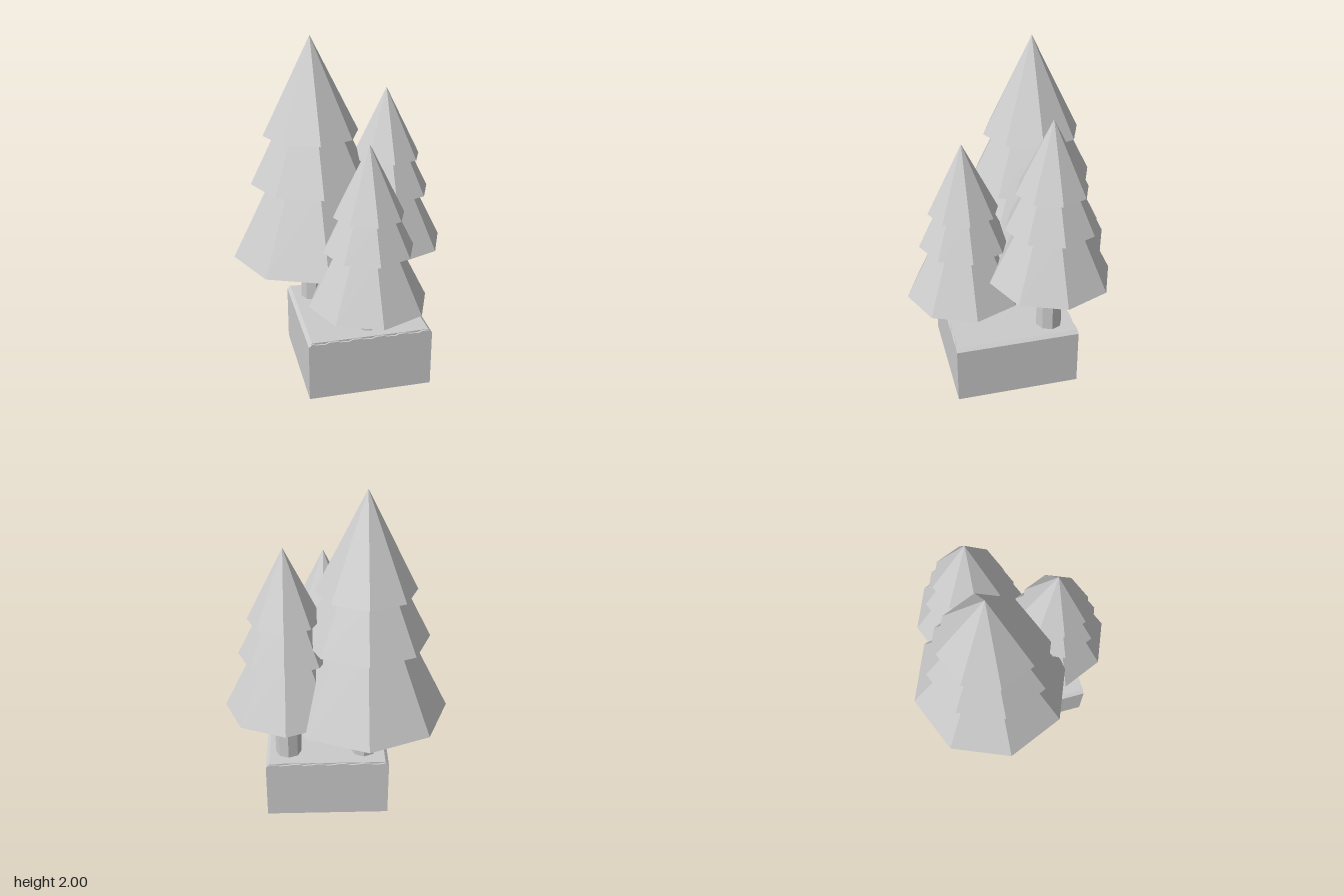
import * as THREE from 'three';

const material = new THREE.MeshStandardMaterial({ color: 0xcccccc, flatShading: true });

function part(name, geometry, x = 0, y = 0, z = 0) {
  const mesh = new THREE.Mesh(geometry, material);
  mesh.name = name;
  mesh.position.set(x, y, z);
  return mesh;
}

// Three stacked eight-sided skirts on a trunk; tiers are [base height, base radius]
function makeTree({ name, x, z, apex, trunk, tiers }) {
  const tree = new THREE.Group();
  tree.name = name;
  tree.position.set(x, 0, z);
  const bottom = 0.36, trunkHeight = tiers[0][0] - bottom + 0.02;
  tree.add(part('trunk', new THREE.CylinderGeometry(trunk, trunk, trunkHeight, 8), 0, bottom + trunkHeight / 2));
  tiers.forEach(([y, radius], i) => {
    const last = i === tiers.length - 1;
    const height = (last ? apex : tiers[i + 1][0]) - y;
    const geometry = last
      ? new THREE.ConeGeometry(radius, height, 8)
      : new THREE.CylinderGeometry(radius - 0.5 * height, radius, height, 8);
    tree.add(part('foliageTier' + (i + 1), geometry, 0, y + height / 2));
  });
  return tree;
}

// Front outline of the ground block, pushed along z
function slab(points, depth) {
  const shape = new THREE.Shape(points.map(([x, y]) => new THREE.Vector2(x, y)));
  return new THREE.ExtrudeGeometry(shape, { depth, bevelEnabled: false });
}

function makeGround() {
  const ground = new THREE.Group();
  ground.name = 'ground';
  const left = -0.31, right = 0.425, top = 0.367, lip = 0.02, edge = 0.01;

  // Main block with chamfered side edges
  const outline = [[left, 0], [right, 0], [right, top - lip], [right - lip, top], [left + lip, top], [left, top - lip]];
  ground.add(part('block', slab(outline, right - left - 2 * edge), 0, 0, left + edge));

  // Ragged turf edge along the front and back
  const ragged = [[left, 0], [right, 0], [right, top - lip], [right - lip, top - 0.003]];
  const notches = 5, step = (right - left - 2 * lip) / notches;
  for (let i = 0; i < notches; i++) {
    const x = right - lip - i * step;
    ragged.push([x - step * 0.3, 0.364], [x - step * 0.45, 0.355], [x - step * 0.8, 0.358], [x - step, 0.364]);
  }
  ragged.push([left, top - lip]);
  ground.add(part('frontEdge', slab(ragged, edge), 0, 0, right - edge));
  ground.add(part('backEdge', slab(ragged, edge), 0, 0, left));
  return ground;
}

export function createModel() {
  const model = new THREE.Group();
  model.name = 'pineTrees';
  model.add(makeGround());
  const trees = [
    { name: 'tallTree', x: -0.165, z: -0.163, apex: 2, trunk: 0.078, tiers: [[0.683, 0.486], [1.143, 0.366], [1.433, 0.285]] },
    { name: 'mediumTree', x: 0.29, z: -0.163, apex: 1.68, trunk: 0.078, tiers: [[0.707, 0.36], [1.047, 0.27], [1.263, 0.21]] },
    { name: 'smallTree', x: 0.067, z: 0.297, apex: 1.49, trunk: 0.058, tiers: [[0.54, 0.35], [0.873, 0.265], [1.08, 0.205]] },
  ];
  trees.forEach((t) => model.add(makeTree(t)));
  return model;
}
